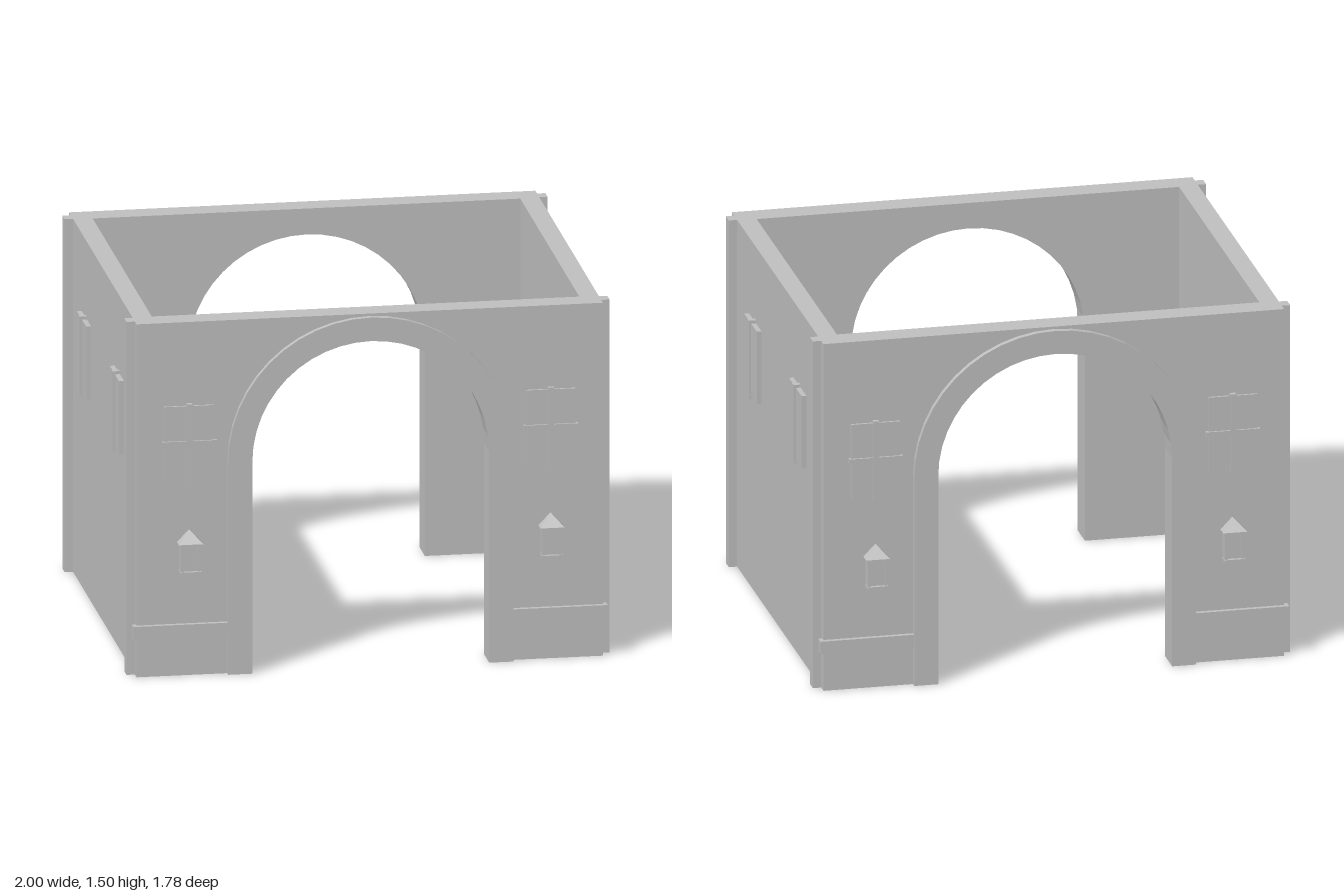
import * as THREE from 'three';

const stone = new THREE.MeshStandardMaterial({ color: 0xbfbfbf });
stone.name = 'grey stone';

const H = 1.5;          // wall height
const SPRING = 0.9;     // height where the arches start
const R_IN = 0.49, R_OUT = 0.59;
const Z_IN = 0.73, Z_OUT = 0.835;   // front wall thickness
const X_IN = 0.885, X_OUT = 0.965;  // side wall thickness

function add(parent, name, geometry) {
  const mesh = new THREE.Mesh(geometry, stone);
  mesh.name = name;
  parent.add(mesh);
  return mesh;
}

// Box given by its limits on each axis
function box(parent, name, x0, x1, y0, y1, z0, z1) {
  const mesh = add(parent, name, new THREE.BoxGeometry(x1 - x0, y1 - y0, z1 - z0));
  mesh.position.set((x0 + x1) / 2, (y0 + y1) / 2, (z0 + z1) / 2);
  return mesh;
}

function extrude(parent, name, shape, z0, z1) {
  const geometry = new THREE.ExtrudeGeometry(shape, { depth: z1 - z0, bevelEnabled: false, curveSegments: 12 });
  geometry.translate(0, 0, z0);
  return add(parent, name, geometry);
}

// Adds the inner arch outline to a shape, from right foot to left foot
function archInside(shape) {
  shape.lineTo(R_IN, 0);
  shape.lineTo(R_IN, SPRING);
  shape.absarc(0, SPRING, R_IN, 0, Math.PI, false);
  shape.lineTo(-R_IN, 0);
}

function lantern(x) {
  const g = new THREE.Group();
  g.name = 'wallLantern';
  box(g, 'lanternBase', x - 0.043, x + 0.043, 0.437, 0.45, Z_OUT, 0.885);
  box(g, 'lanternGlass', x - 0.033, x + 0.033, 0.45, 0.555, Z_OUT, 0.87);
  for (const s of [-1, 1]) {
    box(g, 'lanternPost', x + s * 0.035 - 0.006, x + s * 0.035 + 0.006, 0.45, 0.555, Z_OUT, 0.879);
  }
  box(g, 'lanternCap', x - 0.043, x + 0.043, 0.555, 0.568, Z_OUT, 0.88);
  // Four-sided roof, partly sunk in the wall
  const roof = new THREE.ConeGeometry(0.05 * Math.SQRT2, 0.052, 4, 1).toNonIndexed();
  roof.rotateY(Math.PI / 4);
  roof.computeVertexNormals();
  add(g, 'lanternRoof', roof).position.set(x, 0.594, 0.838);
  return g;
}

// Arched wall with its ornaments, facing +z
function archedWall() {
  const g = new THREE.Group();
  g.name = 'archedWall';

  const wall = new THREE.Shape();
  wall.moveTo(X_OUT, H);
  wall.lineTo(-X_OUT, H);
  wall.lineTo(-X_OUT, 0);
  wall.lineTo(-R_IN, 0);
  wall.lineTo(-R_IN, SPRING);
  wall.absarc(0, SPRING, R_IN, Math.PI, 0, true);
  wall.lineTo(R_IN, 0);
  wall.lineTo(X_OUT, 0);
  extrude(g, 'wall', wall, Z_IN, Z_OUT);

  const trim = new THREE.Shape();
  trim.moveTo(-R_OUT, 0);
  trim.lineTo(-R_OUT, SPRING);
  trim.absarc(0, SPRING, R_OUT, Math.PI, 0, true);
  trim.lineTo(R_OUT, 0);
  archInside(trim);
  extrude(g, 'archTrim', trim, Z_OUT, 0.86);

  for (const s of [-1, 1]) {
    const c = s * 0.748;
    // Window with crossed bars
    box(g, 'windowPanel', c - 0.103, c + 0.103, 0.827, 1.145, Z_OUT, 0.845);
    box(g, 'windowUpright', c - 0.012, c + 0.012, 0.817, 1.155, Z_OUT, 0.855);
    box(g, 'windowCrossbar', c - 0.113, c + 0.113, 0.976, 0.998, Z_OUT, 0.853);
    // Base moulding
    const m = s * 0.786;
    box(g, 'baseMoulding', m - 0.196, m + 0.196, 0.165, 0.22, Z_OUT - 0.02, 0.855);
    // Corner strip
    const k = s * (X_OUT + 1) / 2, w = (1 - X_OUT) / 2;
    box(g, 'cornerStrip', k - w, k + w, 0, H, 0.738, 0.793);
    g.add(lantern(c));
  }
  return g;
}

// Plain wall with two slim windows, facing +x
function sideWall() {
  const g = new THREE.Group();
  g.name = 'sideWall';
  box(g, 'wall', X_IN, X_OUT, 0, H, -Z_IN, Z_IN);
  for (const s of [-1, 1]) {
    const z = s * 0.407;
    box(g, 'sideWindowPanel', X_OUT, 0.985, 0.857, 1.17, z - 0.115, z + 0.115);
    box(g, 'sideWindowUpright', X_OUT, 0.995, 0.843, 1.183, z - 0.012, z + 0.012);
  }
  return g;
}

export function createModel() {
  const model = new THREE.Group();
  model.name = 'archedGatehouse';
  for (const turn of [0, Math.PI]) {
    for (const part of [archedWall(), sideWall()]) {
      part.rotation.y = turn;
      model.add(part);
    }
  }
  return model;
}
